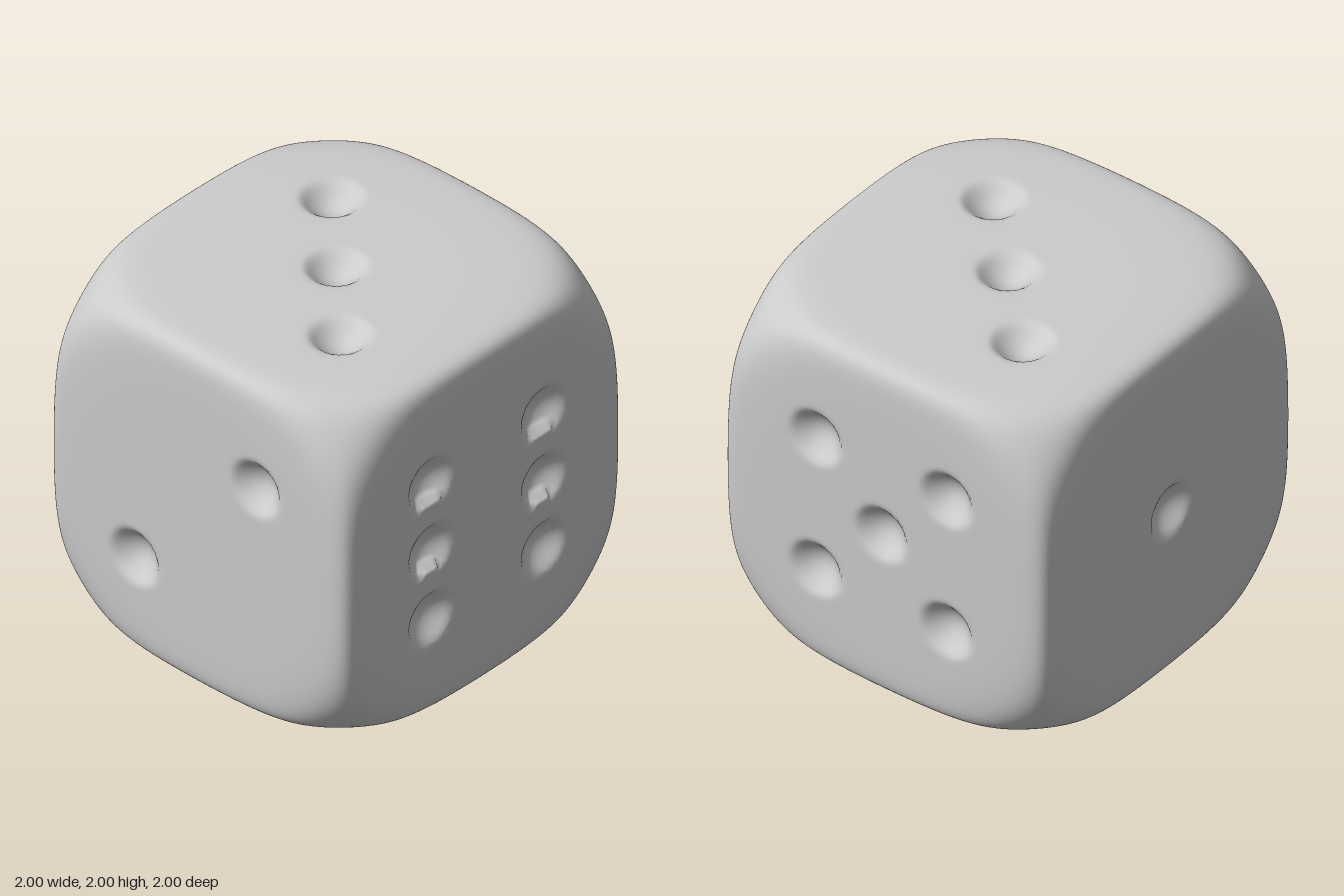
import * as THREE from 'three';
import { mergeVertices } from 'three/addons/utils/BufferGeometryUtils.js';

const S = 0.4;            // pip spacing
const PIP_R = 0.15;       // pip radius
const PIP_DEPTH = 0.09;
const RIM = 0.011;        // softness of the pip rim
const POWER = 24;         // higher is a tighter edge
const BALL = 1.48;        // radius of the ball that rounds off the corners

// Pip centres for each face, measured from the middle of the cube
const pips = [
  // front: six
  ...[-S, S].flatMap(x => [-S, 0, S].map(y => [x, y, 1])),
  // left side (+x): five
  [1, 0, 0], ...[-S, S].flatMap(y => [-S, S].map(z => [1, y, z])),
  // top: three on a diagonal
  [S, 1, -S], [0, 1, 0], [-S, 1, S],
  // bottom: four
  ...[-S, S].flatMap(x => [-S, S].map(z => [x, -1, z])),
  // right side (-x): two on a diagonal
  [-1, S, S], [-1, -S, -S],
  // back: one
  [0, 0, -1],
].map(p => new THREE.Vector3(...p));

// Pulls a point of the cube onto a cube blended smoothly with a ball
function roundOff(p) {
  const sum = Math.abs(p.x) ** POWER + Math.abs(p.y) ** POWER +
    Math.abs(p.z) ** POWER + (p.length() / BALL) ** POWER;
  return p.divideScalar(sum ** (1 / POWER));
}

// Depth of a soft-rimmed bowl at distance r from its centre
function bowl(r) {
  const t = PIP_DEPTH * (1 - (r / PIP_R) ** 2);
  return RIM * Math.log(1 + Math.exp(t / RIM));
}

function dieGeometry() {
  const n = 96;
  let geo = new THREE.BoxGeometry(2, 2, 2, n, n, n);
  geo.deleteAttribute('normal');
  geo.deleteAttribute('uv');
  geo = mergeVertices(geo, 1e-4);
  const pos = geo.attributes.position;
  const p = new THREE.Vector3();
  for (let i = 0; i < pos.count; i++) {
    roundOff(p.fromBufferAttribute(pos, i));
    // Press each nearby pip straight into its face
    for (const c of pips) {
      const r = p.distanceTo(c);
      if (r > PIP_R * 2) continue;
      const axis = ['x', 'y', 'z'].find(a => Math.abs(c[a]) === 1);
      p[axis] -= c[axis] * bowl(r);
      break;
    }
    pos.setXYZ(i, p.x, p.y + 1, p.z);
  }
  geo.computeVertexNormals();
  return geo;
}

export function createModel() {
  const group = new THREE.Group();
  group.name = 'die';
  const body = new THREE.Mesh(dieGeometry(), new THREE.MeshStandardMaterial({ color: 0xcccccc }));
  body.name = 'dieBody';
  group.add(body);
  return group;
}
